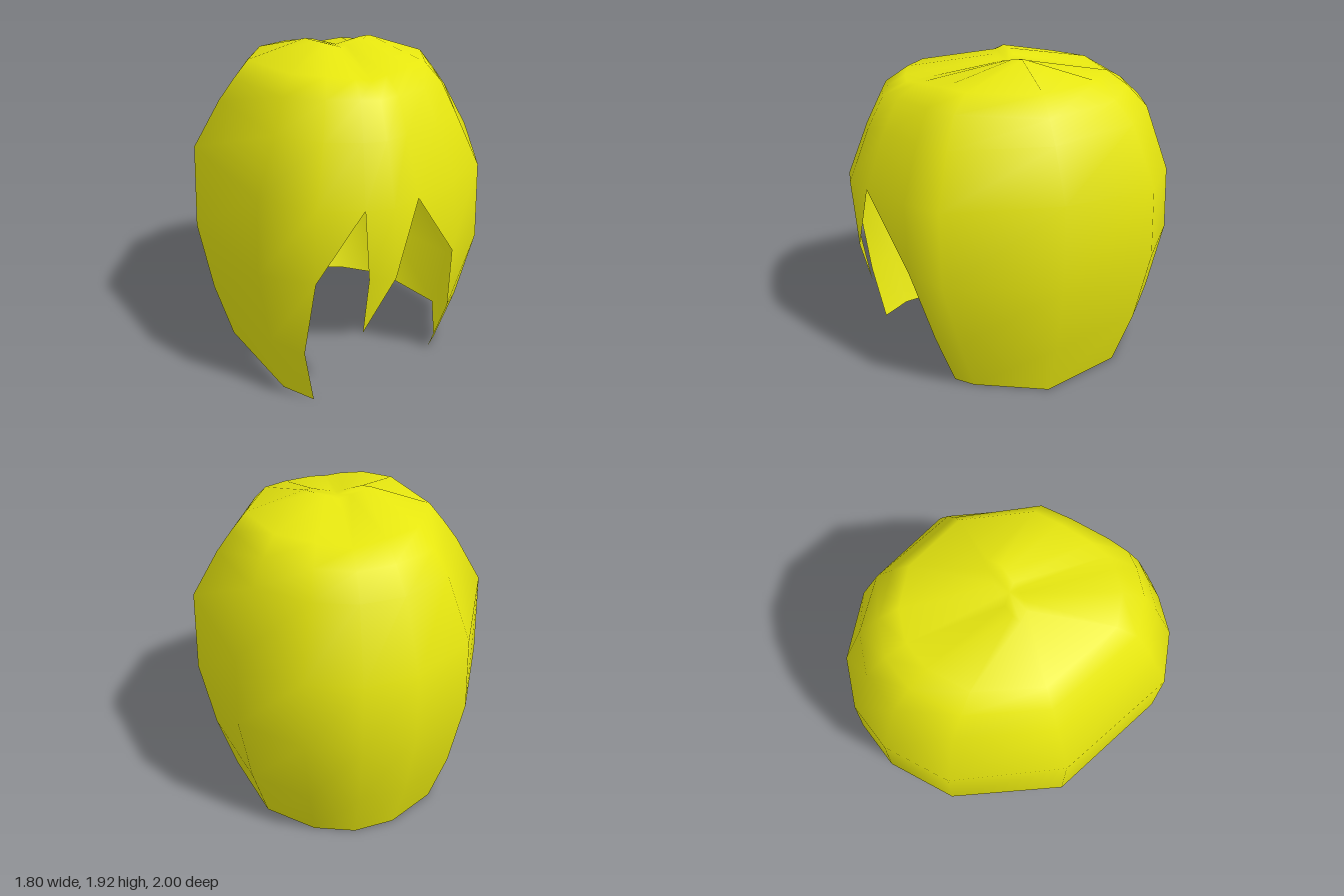
import * as THREE from 'three';

// Widest outline (x, z): from the left face edge, round the back, to the right face edge, then the fringe
const OUTLINE = [
  [0.46, 0.75], [0.68, 0.6], [0.9, -0.03], [0.66, -0.67], [0.31, -0.93], [0, -1],
  [-0.31, -0.93], [-0.66, -0.67], [-0.9, -0.03], [-0.67, 0.74], [-0.4, 0.93],
  [-0.155, 0.99], [0, 1], [0.17, 0.92],
];
const BODY = 11; // columns that hang below the fringe line

// Hanging rows: height, width, back depth, left front depth, right front depth, face edge x (left, right)
const LOWER = [
  { y: 0, w: 0.79, b: 0.78, fl: 0.67, fr: 0.88, el: 0.45, er: -0.39 },
  { y: 0.36, w: 0.91, b: 0.91, fl: 0.83, fr: 0.95, el: 0.51, er: -0.455 },
  { y: 0.8, w: 1, b: 1, fl: 1, fr: 1, el: 0.46, er: -0.4 },
];
// Crown rows: heights at front, side and back, then width, front and back depth, and parting dip
const UPPER = [
  { y: [1.21, 1.31, 1.19], w: 0.98, f: 1, b: 0.98, dip: 0 },
  { y: [1.53, 1.58, 1.6], w: 0.8, f: 0.87, b: 0.83, dip: 0 },
  { y: [1.73, 1.7, 1.73], w: 0.7, f: 0.77, b: 0.7, dip: 0.01 },
  { y: [1.82, 1.81, 1.82], w: 0.6, f: 0.63, b: 0.57, dip: 0.03 },
  { y: [1.92, 1.92, 1.92], w: 0.22, f: 0.08, b: 0.03, dip: 0.05 },
];

function hairGeometry() {
  const pos = [], index = [];
  const add = (x, y, z) => pos.push(x, y, z) / 3 - 1;
  const quad = (a, b, c, d) => index.push(a, b, c, a, c, d);

  const lower = LOWER.map(r => OUTLINE.slice(0, BODY).map(([x, z], i) => {
    const px = i === 0 ? r.el : i === BODY - 1 ? r.er : x * r.w;
    return add(px, r.y, z * (z < 0 ? r.b : x > 0 ? r.fl : r.fr));
  }));
  const upper = UPPER.map(r => OUTLINE.map(([x, z]) => {
    const [yf, ys, yb] = r.y;
    const px = x * r.w;
    const y = ys + ((z > 0 ? yf : yb) - ys) * Math.abs(z);
    return add(px, y - r.dip * Math.max(0, 1 - Math.abs(px) / 0.18), z * (z > 0 ? r.f : r.b));
  }));

  // Hanging sides and back
  const hanging = [...lower, upper[0]];
  for (let j = 0; j < hanging.length - 1; j++)
    for (let i = 0; i < BODY - 1; i++)
      quad(hanging[j][i], hanging[j][i + 1], hanging[j + 1][i + 1], hanging[j + 1][i]);

  // Closed crown
  const n = OUTLINE.length;
  for (let j = 0; j < upper.length - 1; j++)
    for (let i = 0; i < n; i++) {
      const k = (i + 1) % n;
      quad(upper[j][i], upper[j][k], upper[j + 1][k], upper[j + 1][i]);
    }
  const top = add(0, 1.87, 0.03), rim = upper[upper.length - 1];
  for (let i = 0; i < n; i++) index.push(rim[i], rim[(i + 1) % n], top);

  // Slanted corners of the face opening
  const [fr, fm, fl] = upper[0].slice(BODY);
  index.push(lower[2][BODY - 1], fr, upper[0][BODY - 1]);
  index.push(lower[2][0], upper[0][0], fl);

  // Pointed lock over the forehead
  const a = add(-0.115, 0.8, 0.96), b = add(0.03, 0.8, 0.98), tip = add(-0.13, 0.45, 0.91);
  quad(a, b, fm, fr);
  index.push(b, fl, fm, tip, b, a);

  const geo = new THREE.BufferGeometry();
  geo.setAttribute('position', new THREE.Float32BufferAttribute(pos, 3));
  geo.setIndex(index);
  geo.computeVertexNormals();
  return geo;
}

export function createModel() {
  const group = new THREE.Group();
  group.name = 'wig';
  const yellow = new THREE.MeshStandardMaterial({ color: 0xe6e60f, side: THREE.DoubleSide });
  yellow.name = 'yellow hair';
  const hair = new THREE.Mesh(hairGeometry(), yellow);
  hair.name = 'hair';
  group.add(hair);
  return group;
}
